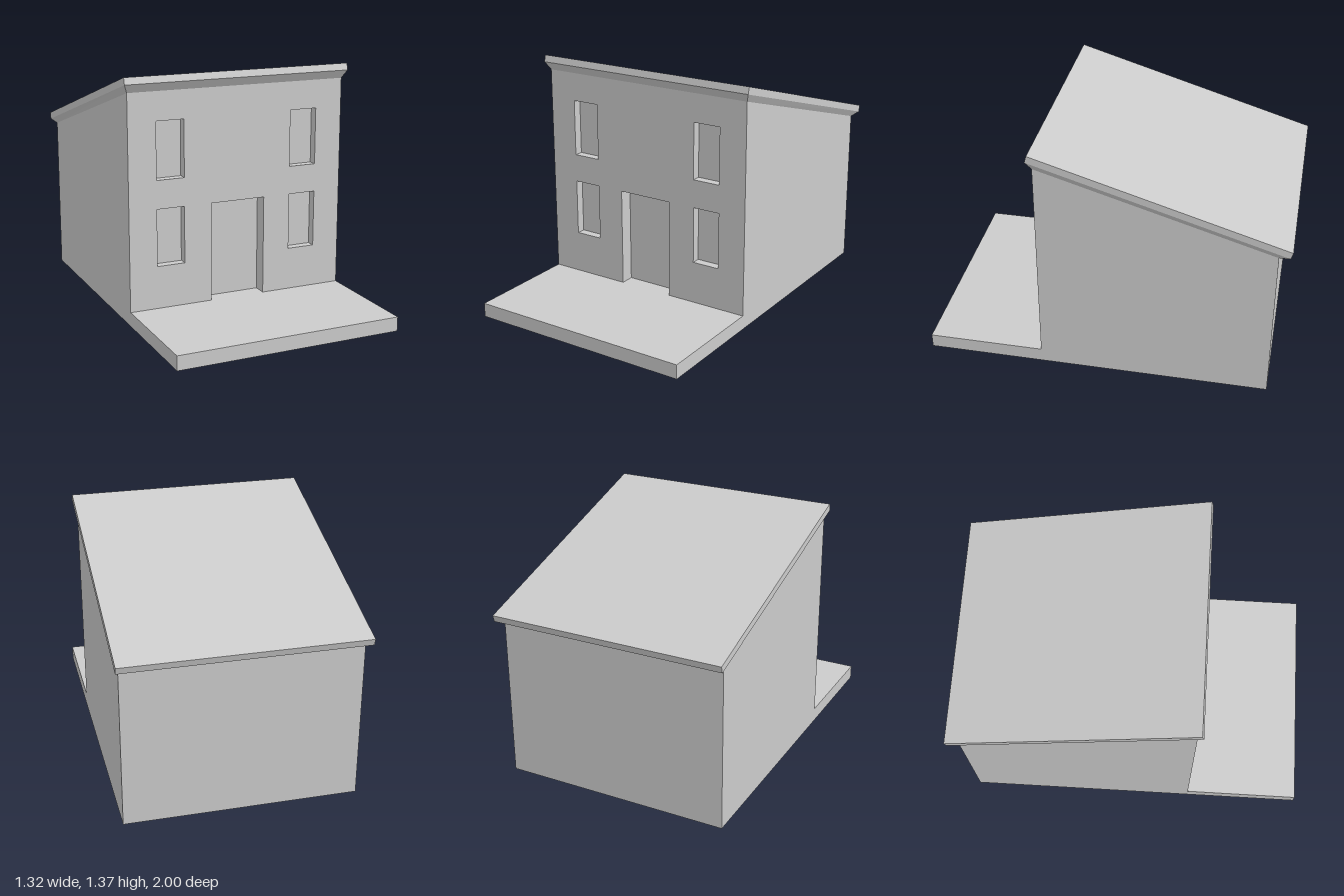
import * as THREE from 'three';

const material = new THREE.MeshStandardMaterial({ color: 0xcccccc, flatShading: true });

const HALF = 0.64;                        // half width of the house
const FRONT = 0.35, BACK = -0.93;         // wall planes
const BASE = 0.08;                        // plinth height
const FRONT_TOP = 1.28, BACK_TOP = 0.9;   // wall heights under the sloping roof
const DOOR = { half: 0.16, top: 0.64, depth: 0.08 };
const WINDOW = { x: 0.4, w: 0.16, h: 0.32, depth: 0.05, sills: [0.32, 0.8] };

function addMesh(parent, name, geometry) {
  const mesh = new THREE.Mesh(geometry, material);
  mesh.name = name;
  parent.add(mesh);
  return mesh;
}

const toShape = (points) => new THREE.Shape(points.map(([x, y]) => new THREE.Vector2(x, y)));

// Plinth with front terrace and house body, as one side profile (z, y) extruded across x
function bodyGeometry() {
  const inner = FRONT - DOOR.depth;
  const innerTop = FRONT_TOP - DOOR.depth * (FRONT_TOP - BACK_TOP) / (FRONT - BACK);
  const profile = [[1, 0], [1, BASE], [inner, BASE], [inner, innerTop], [BACK, BACK_TOP], [BACK, 0]];
  return new THREE.ExtrudeGeometry(toShape(profile.map(([z, y]) => [-z, y])), { depth: 2 * HALF, bevelEnabled: false })
    .rotateY(Math.PI / 2)
    .translate(-HALF, 0, 0);
}

// Front wall with a door notch and four window holes
function frontWallGeometry(windows) {
  const shape = toShape([
    [-HALF, BASE], [-DOOR.half, BASE], [-DOOR.half, DOOR.top], [DOOR.half, DOOR.top],
    [DOOR.half, BASE], [HALF, BASE], [HALF, FRONT_TOP], [-HALF, FRONT_TOP],
  ]);
  for (const [x, y] of windows) {
    const l = x - WINDOW.w / 2, r = x + WINDOW.w / 2, t = y + WINDOW.h;
    shape.holes.push(new THREE.Path([[l, y], [l, t], [r, t], [r, y]].map((p) => new THREE.Vector2(...p))));
  }
  return new THREE.ExtrudeGeometry(shape, { depth: DOOR.depth, bevelEnabled: false })
    .translate(0, 0, FRONT - DOOR.depth);
}

// Roof slab lofted through three rings: wall line, eave underside, top
function roofGeometry() {
  const rings = [
    { x: HALF, front: [0.35, FRONT_TOP], back: [BACK, BACK_TOP] },
    { x: 0.662, front: [0.38, 1.327], back: [-0.99, 0.918] },
    { x: 0.662, front: [0.37, 1.365], back: [-1, 0.955] },
  ];
  const positions = [], index = [];
  for (const { x, front: [fz, fy], back: [bz, by] } of rings) {
    positions.push(x, fy, fz, x, by, bz, -x, by, bz, -x, fy, fz);
  }
  const quad = (a, b, c, d) => index.push(a, b, c, a, c, d);
  for (let r = 0; r < 8; r += 4) {
    for (let i = 0; i < 4; i++) {
      const j = (i + 1) % 4;
      quad(r + i, r + j, r + 4 + j, r + 4 + i);
    }
  }
  quad(3, 2, 1, 0);
  quad(8, 9, 10, 11);
  const indexed = new THREE.BufferGeometry();
  indexed.setAttribute('position', new THREE.Float32BufferAttribute(positions, 3));
  indexed.setIndex(index);
  const geometry = indexed.toNonIndexed();
  geometry.computeVertexNormals();
  return geometry;
}

export function createModel() {
  const house = new THREE.Group();
  house.name = 'house';

  const windows = WINDOW.sills.flatMap((y) => [[-WINDOW.x, y], [WINDOW.x, y]]);

  addMesh(house, 'bodyAndTerrace', bodyGeometry());
  addMesh(house, 'frontWall', frontWallGeometry(windows));
  addMesh(house, 'roof', roofGeometry());

  // Window panes fill the back of each hole
  const thickness = DOOR.depth - WINDOW.depth;
  for (const [x, y] of windows) {
    const name = (y > 0.5 ? 'upper' : 'lower') + (x > 0 ? 'Left' : 'Right') + 'WindowPane';
    addMesh(house, name, new THREE.BoxGeometry(WINDOW.w, WINDOW.h, thickness))
      .position.set(x, y + WINDOW.h / 2, FRONT - DOOR.depth + thickness / 2);
  }

  return house;
}
